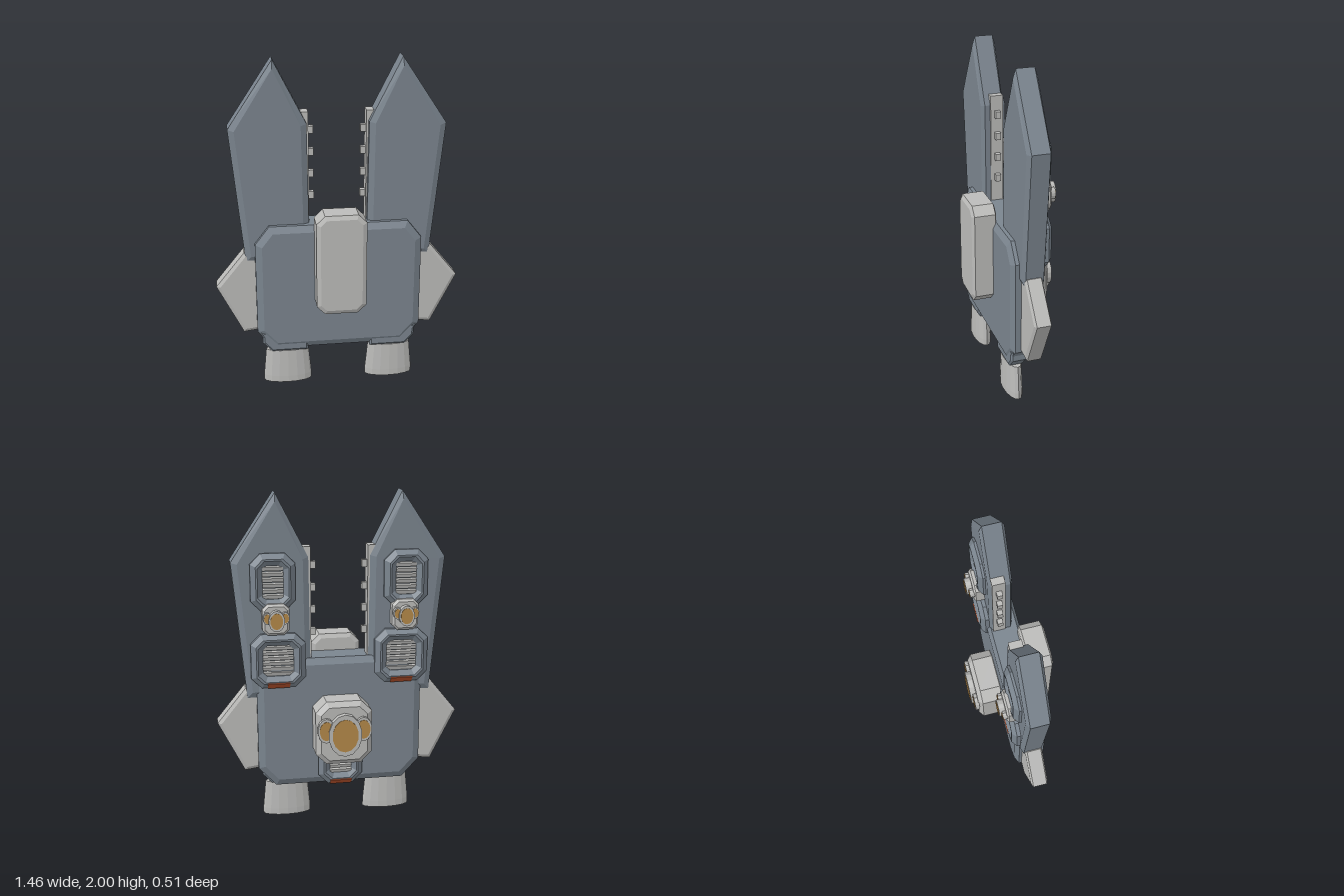
import * as THREE from 'three';

const mat = (name, color) => Object.assign(new THREE.MeshStandardMaterial({ color }), { name });

export function createModel() {
  const slate = mat('slate blue-grey', 0x7b858f);
  const grey = mat('light grey', 0xbcbcba);
  const gold = mat('gold lens', 0xb5894a);
  const orange = mat('burnt orange', 0xb8532c);

  const model = new THREE.Group();
  model.name = 'backpack';

  const add = (parent, name, geo, material, x = 0, y = 0, z = 0) => {
    const m = new THREE.Mesh(geo, material);
    m.name = name;
    m.position.set(x, y, z);
    parent.add(m);
    return m;
  };
  const flat = (geo) => {
    const g = geo.index ? geo.toNonIndexed() : geo;
    g.computeVertexNormals();
    return g;
  };
  const toShape = (pts) => new THREE.Shape(pts.map(([x, y]) => new THREE.Vector2(x, y)));
  // rectangle with cut corners
  const octagon = (w, h, c) => {
    const a = w / 2, b = h / 2;
    return [[-a + c, -b], [a - c, -b], [a, -b + c], [a, b - c],
      [a - c, b], [-a + c, b], [-a, b - c], [-a, -b + c]];
  };
  // chamfered slab between z0 and z1; the outline is its full extent
  const slab = (pts, z0, z1, inset, thick, hole) => {
    const s = toShape(pts);
    if (hole) s.holes.push(toShape(hole));
    const g = new THREE.ExtrudeGeometry(s, {
      depth: z1 - z0 - 2 * thick, bevelEnabled: true, bevelSegments: 1,
      bevelSize: inset, bevelOffset: -inset, bevelThickness: thick,
    });
    g.translate(0, 0, z0 + thick);
    return flat(g);
  };
  // group whose local +z points out of the rear
  const rearGroup = (name, x, y, z) => {
    const g = new THREE.Group();
    g.name = name;
    g.position.set(x, y, z);
    g.rotation.y = Math.PI;
    model.add(g);
    return g;
  };

  // louvred vent with a chamfered frame
  const vent = (name, x, y, z, w, h, depth, tagged) => {
    const g = rearGroup(name, x, y, z);
    const hw = w - 0.14, hh = h - 0.14;
    add(g, 'ventFrame', slab(octagon(w, h, 0.06), -0.03, depth, 0.03, 0.025,
      octagon(hw, hh, 0.025)), slate);
    add(g, 'ventBacking', new THREE.BoxGeometry(hw + 0.02, hh + 0.02, 0.01), slate, 0, 0, 0.004);
    const n = 6;
    for (let i = 0; i < n; i++) {
      const bar = add(g, 'louvre', new THREE.BoxGeometry(hw, hh / n * 0.7, 0.018), grey,
        0, (i + 0.5 - n / 2) * hh / n, 0.015);
      bar.rotation.x = 0.3;
    }
    if (tagged) {
      const tag = add(g, 'ventTag', new THREE.BoxGeometry(0.13, 0.044, 0.008), orange,
        0, -h / 2 + 0.016, depth - 0.012);
      tag.rotation.x = Math.atan2(0.025, 0.03);
    }
  };

  // lens housing: one large oval lens with a smaller one on each side
  const lens = (parent, x, y, z, rx, ry, depth) => {
    const disc = (name, k, d, material, zc) => {
      const c = new THREE.CylinderGeometry(1, 1, d, 14);
      c.rotateX(Math.PI / 2);
      c.scale(rx * k, ry * k, 1);
      add(parent, name, flat(c), material, x, y, zc);
    };
    disc('lensRim', 1, depth, grey, z + depth / 2);
    disc('lensGlass', 0.78, 0.004, gold, z + depth + 0.001);
  };
  const lensHousing = (name, x, y, z, k, depth, out) => {
    const g = rearGroup(name, x, y, z);
    add(g, 'housing', slab(octagon(0.335 * k, 0.39 * k, 0.065 * k), -0.02, depth,
      0.03 * k, 0.025 * k), grey);
    lens(g, 0, 0, depth - 0.005, 0.1 * k, 0.13 * k, out + 0.005);
    for (const s of [-1, 1]) {
      lens(g, s * 0.11 * k, 0.03 * k, depth - 0.005, 0.052 * k, 0.075 * k, out * 0.6 + 0.005);
    }
  };

  // main body
  add(model, 'body', slab([[-0.39, 0.235], [0.39, 0.235], [0.495, 0.35], [0.495, 0.92],
    [0.41, 1.03], [-0.41, 1.03], [-0.495, 0.92], [-0.495, 0.35]], -0.067, 0.128, 0.04, 0.02), slate);

  // raised front block
  const front = add(model, 'frontBlock', slab(octagon(0.295, 0.62, 0.05), 0.1, 0.25, 0.025, 0.012), grey);
  front.position.y = 0.82;

  // rear lens housing and the vent beneath it
  lensHousing('rearLensHousing', 0, 0.605, -0.065, 1, 0.153, 0.035);
  vent('lowerVent', 0, 0.395, -0.065, 0.27, 0.32, 0.04, true);

  for (const s of [-1, 1]) {
    const flip = (pts) => pts.map(([x, y]) => [x * s, y]);

    // tall pointed blade
    add(model, 'blade', slab(flip([[0.17, 0.8], [0.55, 0.8], [0.627, 1.61], [0.367, 2],
      [0.18, 1.63]]), -0.053, 0.085, 0.035, 0.016), slate);

    // studded rail on the blade's inner edge
    add(model, 'rail', new THREE.BoxGeometry(0.045, 0.66, 0.075), grey, s * 0.19, 1.36, 0);
    for (let i = 0; i < 4; i++) {
      add(model, 'railStud', new THREE.BoxGeometry(0.04, 0.042, 0.032), grey,
        s * 0.157, 1.183 + i * 0.132, 0);
    }

    // vents and lens housing on the blade's back
    vent('upperVent', s * 0.39, 1.495, -0.05, 0.26, 0.335, 0.042, false);
    vent('middleVent', s * 0.367, 1.03, -0.05, 0.32, 0.325, 0.05, true);
    lensHousing('bladeLensHousing', s * 0.38, 1.285, -0.05, 0.47, 0.065, 0.035);

    // side fin
    add(model, 'sideFin', slab(flip([[0.42, 0.355], [0.575, 0.335], [0.73, 0.645],
      [0.56, 0.855], [0.42, 0.855]]), -0.03, 0.073, 0.02, 0.01), grey);

    // nozzle collar
    add(model, 'nozzleCollar', slab(flip([[0.19, 0.215], [0.41, 0.215], [0.465, 0.275],
      [0.465, 0.31], [0.48, 0.345], [0.19, 0.345]]), 0.025, 0.122, 0.012, 0.01), slate);

    // flattened, hollow nozzle
    const profile = [[0, 0.1], [0.095, 0.1], [0.112, 0], [0.147, 0], [0.147, 0.04],
      [0.13, 0.215], [0, 0.216]].map(([r, y]) => new THREE.Vector2(r, y));
    const nozzle = new THREE.LatheGeometry(profile, 16);
    nozzle.scale(1, 1, 0.36);
    add(model, 'nozzle', flat(nozzle), grey, s * 0.315, 0, 0.073);
  }
  return model;
}
